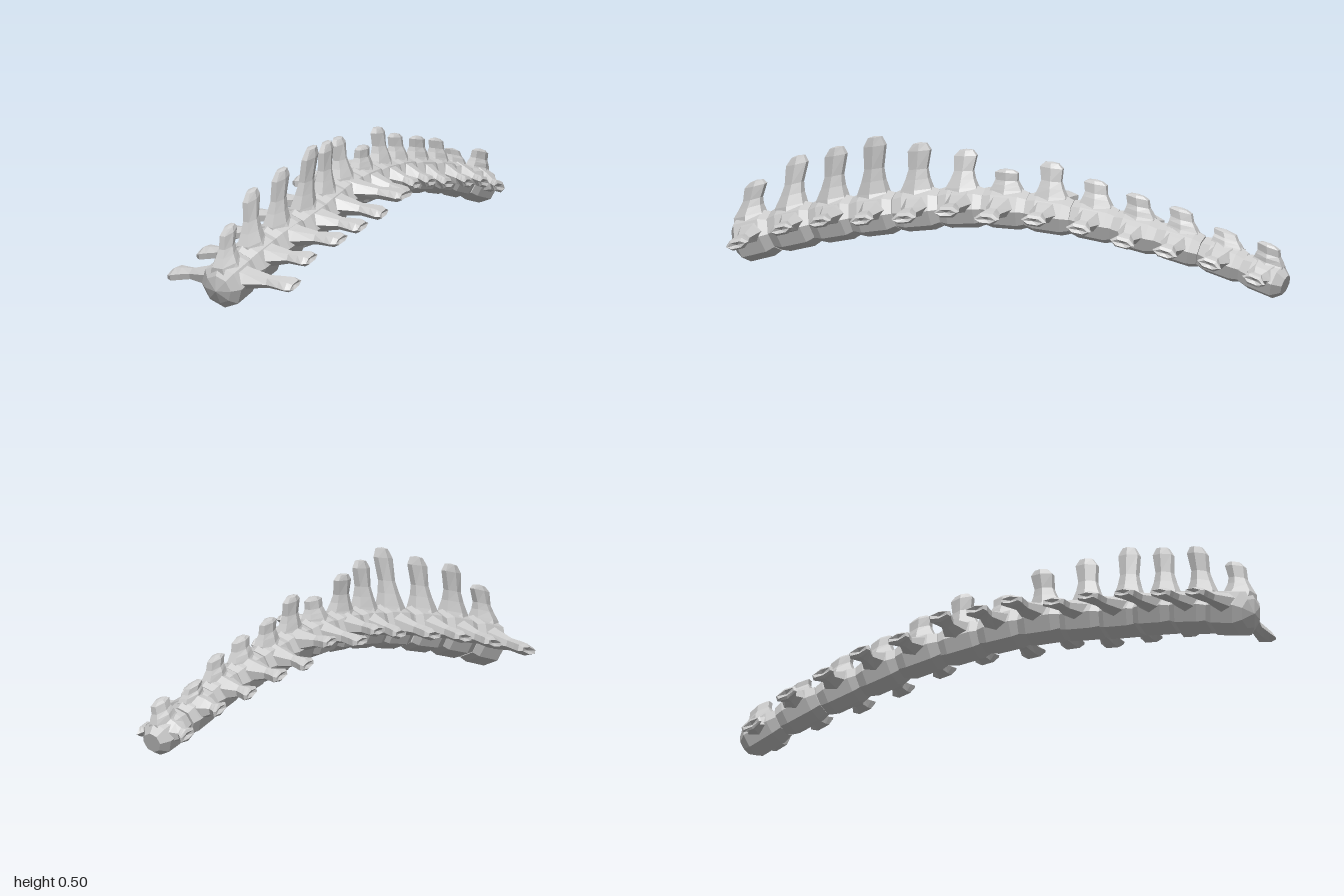
import * as THREE from 'three';

const material = new THREE.MeshStandardMaterial({ color: 0xcccccc, flatShading: true });

// Skin a run of cross-sections [x, y, z, halfU, halfV]; u x v points along the run.
// phase turns the section by a share of one side; tipShift moves the far cap's centre.
function loft(name, rings, sides, phase, u, v, tipShift) {
  const pos = [], idx = [];
  for (const [x, y, z, a, b] of rings) {
    for (let i = 0; i < sides; i++) {
      const t = (i + phase) / sides * Math.PI * 2;
      const p = Math.cos(t) * a, q = Math.sin(t) * b;
      pos.push(x + u[0] * p + v[0] * q, y + u[1] * p + v[1] * q, z + u[2] * p + v[2] * q);
    }
  }
  const last = rings.length - 1, c0 = rings.length * sides;
  pos.push(...rings[0].slice(0, 3));
  pos.push(...tipShift.map((d, k) => rings[last][k] + d));
  for (let i = 0; i < sides; i++) {
    const j = (i + 1) % sides;
    for (let k = 0; k < last; k++) {
      const a = k * sides + i, b = k * sides + j;
      idx.push(a, b, b + sides, a, b + sides, a + sides);
    }
    idx.push(c0, j, i, c0 + 1, last * sides + i, last * sides + j);
  }
  const indexed = new THREE.BufferGeometry();
  indexed.setAttribute('position', new THREE.Float32BufferAttribute(pos, 3));
  indexed.setIndex(idx);
  const geo = indexed.toNonIndexed();
  geo.computeVertexNormals();
  const mesh = new THREE.Mesh(geo, material);
  mesh.name = name;
  return mesh;
}

const X = [1, 0, 0], Y = [0, 1, 0], Z = [0, 0, 1];

// One row per vertebra: centre x, y | spine tip x, y | right arm tip x, y | left arm tip x, y
const ROWS = [
  [-0.01, 0.115, -0.01, 0.31, -0.247, 0.11, 0.24, 0.122],
  [0, 0.16, -0.01, 0.405, -0.22, 0.155, 0.215, 0.18],
  [0.01, 0.197, 0.02, 0.45, -0.212, 0.195, 0.245, 0.22],
  [0.025, 0.227, 0.05, 0.5, -0.2, 0.225, 0.24, 0.235],
  [0.015, 0.25, 0.02, 0.483, -0.175, 0.25, 0.235, 0.25],
  [-0.005, 0.265, -0.025, 0.463, -0.2, 0.285, 0.225, 0.28],
  [-0.02, 0.267, -0.015, 0.405, -0.225, 0.27, 0.17, 0.255],
  [-0.035, 0.255, -0.045, 0.435, -0.213, 0.29, 0.115, 0.25],
  [-0.06, 0.235, -0.065, 0.38, -0.235, 0.235, 0.085, 0.225],
  [-0.07, 0.205, -0.065, 0.34, -0.24, 0.22, 0.065, 0.185],
  [-0.08, 0.17, -0.08, 0.3, -0.23, 0.18, 0.055, 0.158],
  [-0.1, 0.125, -0.105, 0.23, -0.217, 0.145, 0.03, 0.125],
  [-0.1, 0.075, -0.088, 0.195, -0.195, 0.075, 0, 0.075],
];
const END = ROWS.length - 1;
const PITCH = 1.84 / END; // even spacing along z

function vertebra(i) {
  const [cx, cy, sx, sy, rx, ry, lx, ly] = ROWS[i];
  const first = i === 0, end = i === END;
  const cz = 0.92 - i * PITCH;
  const r = 0.08 - 0.0017 * i;
  const i0 = Math.max(i - 1, 0), i1 = Math.min(i + 1, END), run = (i1 - i0) * PITCH;
  const g = new THREE.Group();
  g.name = 'vertebra' + (i + 1);
  g.position.set(cx, cy, cz);
  // follow the curve of the column
  g.rotation.set(-Math.atan((ROWS[i0][1] - ROWS[i1][1]) / run), Math.atan((ROWS[i0][0] - ROWS[i1][0]) / run), 0);
  const inverse = g.quaternion.clone().invert();
  const local = (x, y, dz) => new THREE.Vector3(x - cx, y - cy, dz).applyQuaternion(inverse);

  // body: eight-sided bead, rounded off at both ends of the column
  const section = (z, s) => [0, 0, z, r * s, r * s];
  const bead = [
    end ? section(-0.08, 0.6) : section(-0.081, 0.87),
    section(-0.05, 1.02), section(0.045, 1.02),
    first ? section(0.068, 0.66) : section(0.08, 0.87),
  ];
  g.add(loft('body', bead, 8, 0, X, Y, [0, 0, first ? 0.016 : 0]));

  // upright spine: saddle on the body, narrow neck, blunt swollen tip
  const tip = local(sx, sy, end ? -0.02 : -0.004), h = tip.y;
  const stout = THREE.MathUtils.clamp((0.2 - h) / 0.1, 0, 1);
  const up = (y, wz, wx) => {
    const t = Math.max(0, (y - r) / (h - r));
    return [tip.x * t, y, tip.z * t, wz * 1.15, wx];
  };
  g.add(loft('spine', [
    up(0.02, 0.064, r * 0.86),
    up(r * 0.95, 0.055, r * 0.55),
    up(r + (h - r) * 0.2, 0.041 + stout * 0.008, 0.031),
    up(r + (h - r) * 0.42, 0.033 + stout * 0.01, 0.023),
    up(r + (h - r) * 0.82, 0.04, 0.021),
    up(h - 0.004, 0.024, 0.015),
  ], 6, 0.5, Z, X, [0, 0.004, 0]));

  // side arms: sloping root, slim shaft, flared and slightly notched tip
  for (const [name, x, y, side] of [['leftArm', lx, ly, 1], ['rightArm', rx, ry, -1]]) {
    const p = local(x, y, cz > 0.1 ? -0.026 : 0.003);
    const at = (t, wy, wz) => {
      const c = [p.x * t, 0.022 + (p.y - 0.022) * t, p.z * t];
      return side > 0 ? [...c, wy, wz] : [...c, wz, wy];
    };
    const root = Math.min(0.95 * r / Math.abs(p.x), 0.55);
    const along = t => root + (1 - root) * t;
    g.add(loft(name, [
      at(root * 0.4, 0.046, 0.062),
      at(root, 0.034, 0.047),
      at(along(0.45), 0.021, 0.026),
      at(along(0.72), 0.022, 0.036),
      at(along(0.9), 0.021, 0.045),
      at(1, 0.012, 0.037),
    ], 6, 0.5, side > 0 ? Y : Z, side > 0 ? Z : Y, [-side * 0.009, 0, 0]));
  }
  return g;
}

export function createModel() {
  const model = new THREE.Group();
  model.name = 'spinalColumn';
  for (let i = 0; i <= END; i++) model.add(vertebra(i));
  return model;
}
